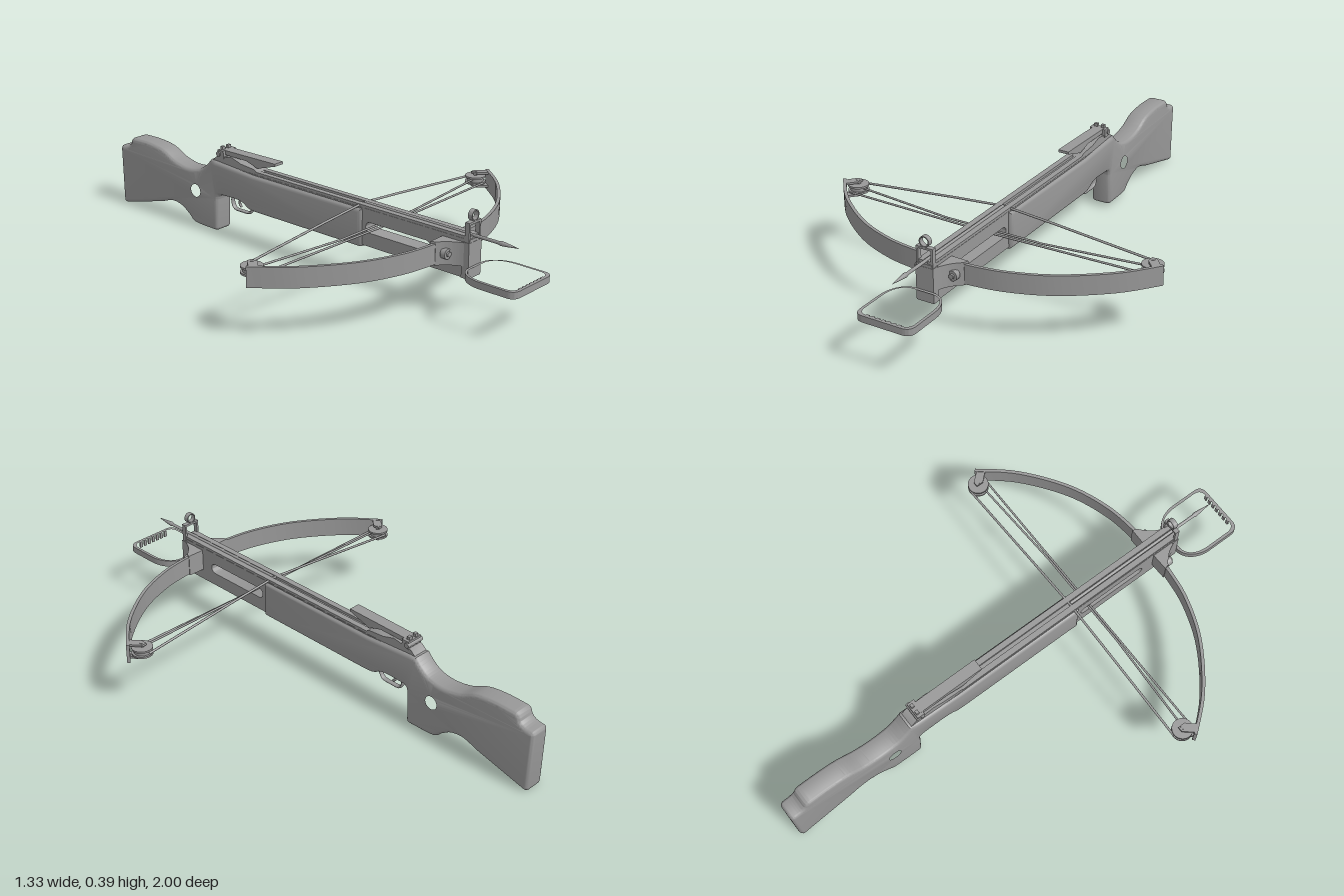
import * as THREE from 'three';
import { toCreasedNormals } from 'three/addons/utils/BufferGeometryUtils.js';

const grey = new THREE.MeshStandardMaterial({ color: 0x989898 });
grey.name = 'grey';
const V2 = (p) => new THREE.Vector2(p[0], p[1]);
const V3 = (p) => new THREE.Vector3(...p);

export function createModel() {
  const model = new THREE.Group();
  model.name = 'crossbow';

  const add = (name, geo, x = 0, y = 0, z = 0) => {
    const m = new THREE.Mesh(geo, grey);
    m.name = name;
    m.position.set(x, y, z);
    model.add(m);
    return m;
  };
  const box = (name, w, h, d, x, y, z) => add(name, new THREE.BoxGeometry(w, h, d), x, y, z);
  const extrude = (shape, depth, bevel = 0) => {
    const g = new THREE.ExtrudeGeometry(shape, {
      depth: depth - 2 * bevel, bevelEnabled: bevel > 0, bevelSize: bevel, bevelThickness: bevel,
      bevelOffset: -bevel, bevelSegments: 5, curveSegments: 20,
    });
    g.translate(0, 0, -(depth - 2 * bevel) / 2);
    return g;
  };
  // side profile (z, y) given a width along x
  const side = (shape, width, bevel) => toCreasedNormals(extrude(shape, width, bevel).rotateY(-Math.PI / 2), 0.6);
  // plan outline (x, z) given a height along y
  const plan = (shape, height, bevel) => toCreasedNormals(extrude(shape, height, bevel).rotateX(Math.PI / 2), 0.6);
  const rod = (name, points, r) => {
    const path = new THREE.CurvePath();
    for (let i = 1; i < points.length; i++) path.add(new THREE.LineCurve3(V3(points[i - 1]), V3(points[i])));
    return add(name, new THREE.TubeGeometry(path, (points.length - 1) * 2, r, 8));
  };
  const ring = (name, r, h, x, y, z) => add(name, new THREE.CylinderGeometry(r, r, h, 28), x, y, z);

  // Thumbhole stock
  const stock = new THREE.Shape();
  stock.moveTo(0.285, 0.293);
  stock.lineTo(0.285, 0.155);
  stock.quadraticCurveTo(0.285, 0.145, 0.27, 0.145);
  stock.lineTo(-0.24, 0.145);
  stock.splineThru([[-0.28, 0.15], [-0.31, 0.166], [-0.35, 0.172], [-0.425, 0.17]].map(V2));
  stock.quadraticCurveTo(-0.444, 0.168, -0.442, 0.14);
  stock.lineTo(-0.445, 0.04);
  stock.quadraticCurveTo(-0.443, 0.018, -0.465, 0.018);
  stock.splineThru([[-0.57, 0.022], [-0.605, 0.046], [-0.65, 0.073], [-0.705, 0.08], [-0.77, 0.06]].map(V2));
  stock.lineTo(-0.975, 0.008);
  stock.quadraticCurveTo(-0.993, 0.004, -0.994, 0.025);
  stock.lineTo(-1, 0.235);
  stock.quadraticCurveTo(-1, 0.252, -0.985, 0.253);
  stock.quadraticCurveTo(-0.945, 0.255, -0.938, 0.275);
  stock.quadraticCurveTo(-0.935, 0.297, -0.91, 0.298);
  stock.splineThru([[-0.83, 0.299], [-0.75, 0.288], [-0.68, 0.257], [-0.61, 0.244],
    [-0.545, 0.252], [-0.505, 0.277], [-0.478, 0.305]].map(V2));
  stock.lineTo(-0.45, 0.306);
  stock.lineTo(-0.25, 0.293);
  const thumb = new THREE.Path();
  thumb.absarc(-0.56, 0.16, 0.043, 0, Math.PI * 2, true);
  stock.holes.push(thumb);
  add('stock', side(stock, 0.082, 0.017));

  // Front rail with a cable slot
  const rail = new THREE.Shape([[0.755, 0.155], [0.755, 0.285], [0.27, 0.285], [0.27, 0.155]].map(V2));
  const slot = new THREE.Path();
  slot.absarc(0.57, 0.227, 0.02, -Math.PI / 2, Math.PI / 2, false);
  slot.lineTo(0.32, 0.247);
  slot.absarc(0.32, 0.227, 0.02, Math.PI / 2, Math.PI * 1.5, false);
  rail.holes.push(slot);
  add('frontRail', side(rail, 0.06));

  // Grooved flight track
  box('trackBase', 0.062, 0.012, 1.1, 0, 0.29, 0.205);
  for (const s of [-1, 1]) box('trackStrip', 0.022, 0.012, 1.19, s * 0.019, 0.3, 0.155);

  // Bolt with a pointed head
  const arrow = new THREE.LatheGeometry([[0, 0], [0.006, 0.001], [0.006, 0.58], [0.009, 0.59], [0.007, 0.61], [0, 0.665]].map(V2), 12);
  add('arrow', toCreasedNormals(arrow.rotateX(Math.PI / 2), 0.6), 0, 0.304, 0.27);

  // Mount for the limbs, with flared sides and screws
  for (const s of [-1, 1]) {
    const flare = new THREE.Shape();
    flare.moveTo(0, 0.64);
    flare.lineTo(s * 0.098, 0.642);
    flare.lineTo(s * 0.092, 0.66);
    flare.quadraticCurveTo(s * 0.05, 0.69, s * 0.035, 0.735);
    flare.lineTo(0, 0.735);
    add('limbMount', plan(flare, 0.085), 0, 0.24, 0);
    const washer = new THREE.CylinderGeometry(0.019, 0.019, 0.02, 24).rotateX(Math.PI / 2);
    add('mountWasher', washer, s * 0.066, 0.24, 0.683);
    add('mountScrew', new THREE.CylinderGeometry(0.01, 0.01, 0.02, 6).rotateX(Math.PI / 2), s * 0.066, 0.24, 0.69);
    add('sideScrew', new THREE.CylinderGeometry(0.015, 0.015, 0.012, 20).rotateZ(Math.PI / 2), s * 0.032, 0.242, 0.705);
  }
  box('frontPlate', 0.07, 0.13, 0.03, 0, 0.22, 0.741);

  // Bow limbs: a thin bent strip
  const half = [[0.658, 0.325], [0.55, 0.45], [0.39, 0.567], [0.235, 0.63], [0.1, 0.652]];
  const bend = new THREE.SplineCurve([...half.map(([x, z]) => V2([-x, z])), V2([0, 0.654]), ...half.slice().reverse().map(V2)]);
  const inner = [], outer = [];
  for (let i = 0; i <= 60; i++) {
    const p = bend.getPoint(i / 60), t = bend.getTangent(i / 60);
    const n = new THREE.Vector2(-t.y, t.x).multiplyScalar(0.006);
    inner.push(p.clone().sub(n));
    outer.push(p.clone().add(n));
  }
  add('bowLimbs', plan(new THREE.Shape([...outer, ...inner.reverse()]), 0.074), 0, 0.238, 0);

  // Wheels at the limb tips
  for (const s of [-1, 1]) {
    const x = s * 0.61, z = 0.305;
    ring('wheelTop', 0.039, 0.007, x, 0.256, z);
    ring('wheelCore', 0.031, 0.022, x, 0.245, z);
    ring('wheelBottom', 0.039, 0.007, x, 0.234, z);
    ring('wheelAxle', 0.008, 0.064, x, 0.243, z);
    for (const y of [0.219, 0.27]) {
      const arm = new THREE.Shape([[s * 0.6, 0.292], [s * 0.62, 0.292], [s * 0.652, 0.33], [s * 0.632, 0.355], [s * 0.6, 0.32]].map(V2));
      add('wheelBracket', plan(arm, 0.008), 0, y, 0);
    }
  }

  // Bowstring and cables
  rod('bowstring', [[-0.61, 0.246, 0.267], [-0.03, 0.303, 0.267], [0.03, 0.303, 0.267], [0.61, 0.246, 0.267]], 0.0045);
  rod('frontCable', [[-0.61, 0.236, 0.343], [0, 0.228, 0.345], [0.61, 0.236, 0.343]], 0.004);
  rod('rearCable', [[-0.59, 0.25, 0.313], [-0.2, 0.236, 0.335], [0.2, 0.236, 0.335], [0.59, 0.25, 0.313]], 0.004);

  // Foot stirrup
  const loop = (inset, Type) => {
    const w = 0.111 - inset, f = 0.998 - inset, b = 0.757 + inset, p = new Type();
    p.moveTo(-w + 0.035, f);
    p.lineTo(w - 0.035, f);
    p.quadraticCurveTo(w, f, w, f - 0.035);
    p.lineTo(w, 0.86);
    p.bezierCurveTo(w, 0.8, 0.075, b, 0.035, b);
    p.lineTo(-0.035, b);
    p.bezierCurveTo(-0.075, b, -w, 0.8, -w, 0.86);
    p.lineTo(-w, f - 0.035);
    p.quadraticCurveTo(-w, f, -w + 0.035, f);
    return p;
  };
  const stirrup = loop(0, THREE.Shape);
  stirrup.holes.push(loop(0.011, THREE.Path));
  add('stirrup', plan(stirrup, 0.025), 0, 0.186, 0);
  for (let i = -3; i <= 3; i++) box('stirrupRidge', 0.012, 0.025, 0.006, i * 0.021, 0.186, 0.985);

  // Front sight: bracket and ring
  for (const s of [-1, 1]) box('frontSightLeg', 0.008, 0.07, 0.018, s * 0.029, 0.317, 0.744);
  box('frontSightBar', 0.066, 0.008, 0.018, 0, 0.352, 0.744);
  const sightRing = new THREE.Shape();
  sightRing.absarc(0, 0.376, 0.02, 0, Math.PI * 2, false);
  const sightHole = new THREE.Path();
  sightHole.absarc(0, 0.376, 0.016, 0, Math.PI * 2, true);
  sightRing.holes.push(sightHole);
  add('frontSightRing', toCreasedNormals(extrude(sightRing, 0.018), 0.6), 0, 0, 0.744);

  // Rear sight: base, sloped leaf and notch
  const base = new THREE.Shape([[-0.23, 0.3], [-0.25, 0.314], [-0.32, 0.32], [-0.37, 0.335], [-0.45, 0.322], [-0.475, 0.3]].map(V2));
  add('rearSightBase', side(base, 0.06));
  const leaf = new THREE.Shape([[-0.15, 0.346], [-0.15, 0.356], [-0.44, 0.352], [-0.44, 0.335], [-0.3, 0.335], [-0.24, 0.318], [-0.17, 0.34]].map(V2));
  add('rearSightLeaf', side(leaf, 0.044));
  box('rearSightBlock', 0.066, 0.032, 0.03, 0, 0.336, -0.425);
  for (const s of [-1, 1]) box('rearSightNotch', 0.014, 0.014, 0.012, s * 0.015, 0.357, -0.43);
  add('rearSightKnob', new THREE.CylinderGeometry(0.01, 0.01, 0.075, 16).rotateZ(Math.PI / 2), 0, 0.336, -0.435);

  // Trigger and guard
  const guard = new THREE.CatmullRomCurve3([[0, 0.16, -0.285], [0, 0.142, -0.287], [0, 0.122, -0.3], [0, 0.118, -0.34],
    [0, 0.121, -0.38], [0, 0.14, -0.393], [0, 0.175, -0.393]].map(V3));
  const guardGeo = new THREE.TubeGeometry(guard, 30, 0.005, 8);
  guardGeo.scale(2, 1, 1);
  add('triggerGuard', guardGeo);
  const trigger = new THREE.CatmullRomCurve3([[0, 0.18, -0.35], [0, 0.157, -0.357], [0, 0.142, -0.357], [0, 0.132, -0.347]].map(V3));
  add('trigger', new THREE.TubeGeometry(trigger, 12, 0.005, 8));

  return model;
}
